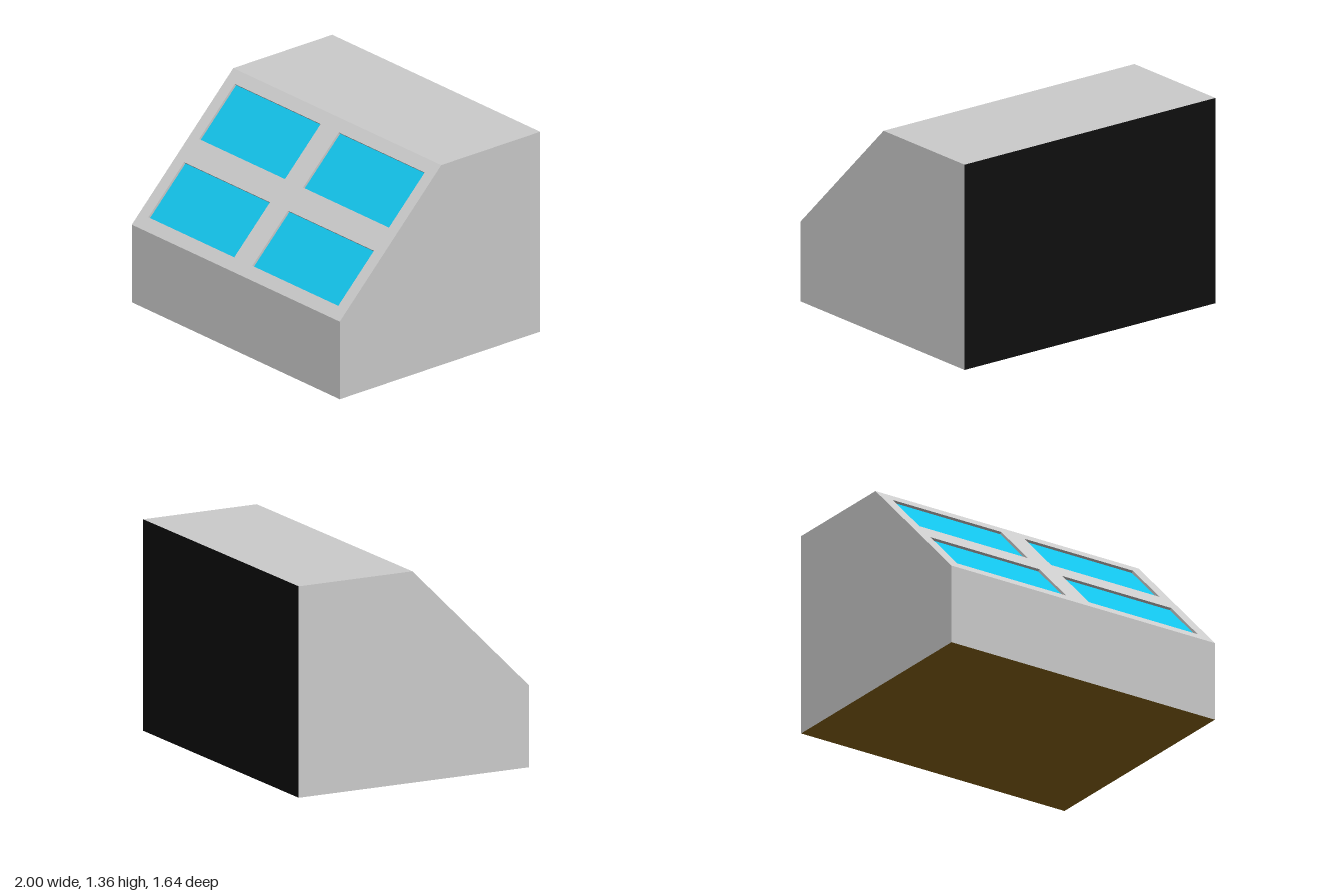
import * as THREE from 'three';

const HALF_W = 1, HALF_D = 0.82, TOP = 1.357, LIP = 0.527, RIDGE = -0.01;
const RECESS = 0.016;

const mat = (color) => new THREE.MeshStandardMaterial({ color, side: THREE.DoubleSide });

export function createModel() {
  const model = new THREE.Group();
  const grey = mat(0xcccccc), black = mat(0x0f0f0f), brown = mat(0x906a18), blue = mat(0x13c3ea);

  const add = (name, geometry, material, parent = model) => {
    const mesh = new THREE.Mesh(geometry, material);
    mesh.name = name;
    parent.add(mesh);
    return mesh;
  };

  // Flat wall: a plane facing +z, turned and moved into place
  const wall = (name, height, material, rotX, y, z) => {
    const mesh = add(name, new THREE.PlaneGeometry(2 * HALF_W, height), material);
    mesh.rotation.x = rotX;
    mesh.position.set(0, y, z);
  };
  wall('frontWall', LIP, grey, 0, LIP / 2, HALF_D);
  wall('backWall', TOP, black, Math.PI, TOP / 2, -HALF_D);
  wall('topWall', RIDGE + HALF_D, grey, -Math.PI / 2, TOP, (RIDGE - HALF_D) / 2);
  wall('base', 2 * HALF_D, brown, Math.PI / 2, 0, 0);

  // Five-cornered side walls, drawn in (-z, y) so that they face +x when turned
  const profile = new THREE.Shape([
    [-HALF_D, 0], [HALF_D, 0], [HALF_D, TOP], [-RIDGE, TOP], [-HALF_D, LIP],
  ].map(([a, b]) => new THREE.Vector2(a, b)));
  for (const side of [1, -1]) {
    const geometry = new THREE.ShapeGeometry(profile);
    if (side < 0) geometry.scale(-1, 1, 1).index.array.reverse();
    if (side < 0) geometry.computeVertexNormals();
    const mesh = add(side > 0 ? 'leftWall' : 'rightWall', geometry, grey);
    mesh.rotation.y = side * Math.PI / 2;
    mesh.position.x = side * HALF_W;
  }

  // Sloped front: a frame with four openings and a recessed pane in each
  const rise = TOP - LIP, run = HALF_D - RIDGE;
  const halfS = Math.hypot(rise, run) / 2;
  const slope = new THREE.Group();
  slope.name = 'slopedFront';
  slope.position.set(0, (TOP + LIP) / 2, (HALF_D + RIDGE) / 2);
  slope.rotation.x = -Math.atan2(run, rise);
  model.add(slope);

  const rectangle = (Type, cx, cy, hw, hh) => new Type([
    [-hw, -hh], [hw, -hh], [hw, hh], [-hw, hh],
  ].map(([x, y]) => new THREE.Vector2(cx + x, cy + y)));

  const frame = rectangle(THREE.Shape, 0, 0, HALF_W, halfS);
  const margin = 0.087, paneW = HALF_W / 2 - margin, paneH = halfS / 2 - margin;
  for (const row of [-1, 1]) {
    for (const column of [-1, 1]) {
      const cx = column * HALF_W / 2, cy = row * halfS / 2;
      frame.holes.push(rectangle(THREE.Path, cx, cy, paneW, paneH));
      const pane = add('pane', new THREE.PlaneGeometry(2 * paneW, 2 * paneH), blue, slope);
      pane.position.set(cx, cy, -RECESS);
    }
  }
  const frameGeometry = new THREE.ExtrudeGeometry(frame, { depth: RECESS, bevelEnabled: false });
  add('windowFrame', frameGeometry.translate(0, 0, -RECESS), grey, slope);

  return model;
}
